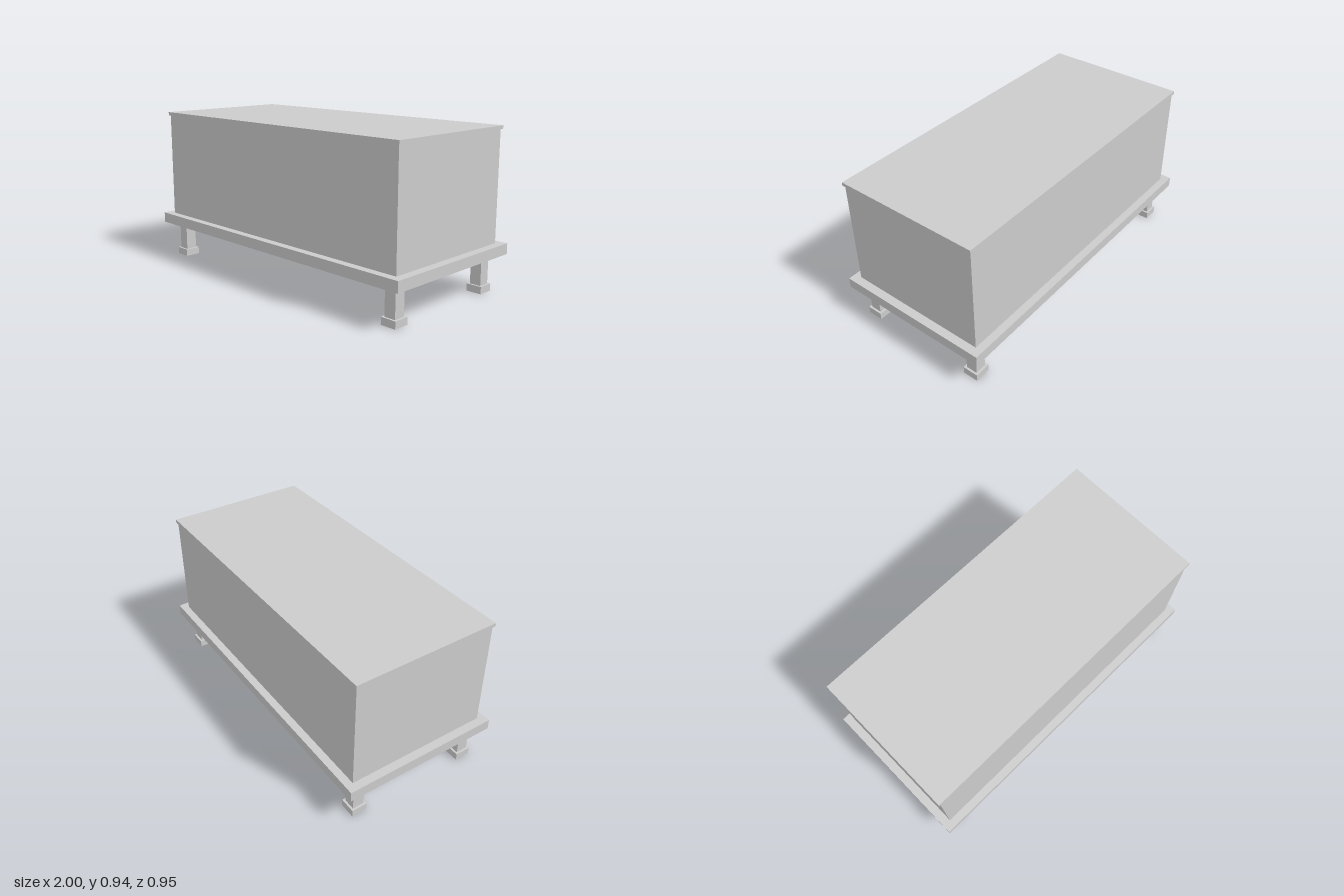
import * as THREE from 'three';

const material = new THREE.MeshStandardMaterial({ color: 0xcccccc });

// Box of given width and depth, spanning y0 to y1
function slab(name, width, depth, y0, y1) {
  const mesh = new THREE.Mesh(new THREE.BoxGeometry(width, y1 - y0, depth), material);
  mesh.name = name;
  mesh.position.y = (y0 + y1) / 2;
  return mesh;
}

export function createModel() {
  const chest = new THREE.Group();
  chest.name = 'chest';

  // Case resting on a wider base, with a thin overhanging lid
  chest.add(
    slab('base', 2, 0.953, 0.216, 0.279),
    slab('body', 1.9, 0.86, 0.279, 0.922),
    slab('lid', 1.92, 0.877, 0.922, 0.942)
  );

  // Four square legs, each on a wider foot
  for (const sx of [-1, 1]) {
    for (const sz of [-1, 1]) {
      const leg = new THREE.Group();
      leg.name = `${sz > 0 ? 'front' : 'back'}${sx > 0 ? 'Left' : 'Right'}Leg`;
      leg.add(
        slab('post', 0.069, 0.069, 0.043, 0.216),
        slab('foot', 0.094, 0.094, 0, 0.043)
      );
      leg.position.set(sx * 0.893, 0, sz * 0.37);
      chest.add(leg);
    }
  }

  return chest;
}
